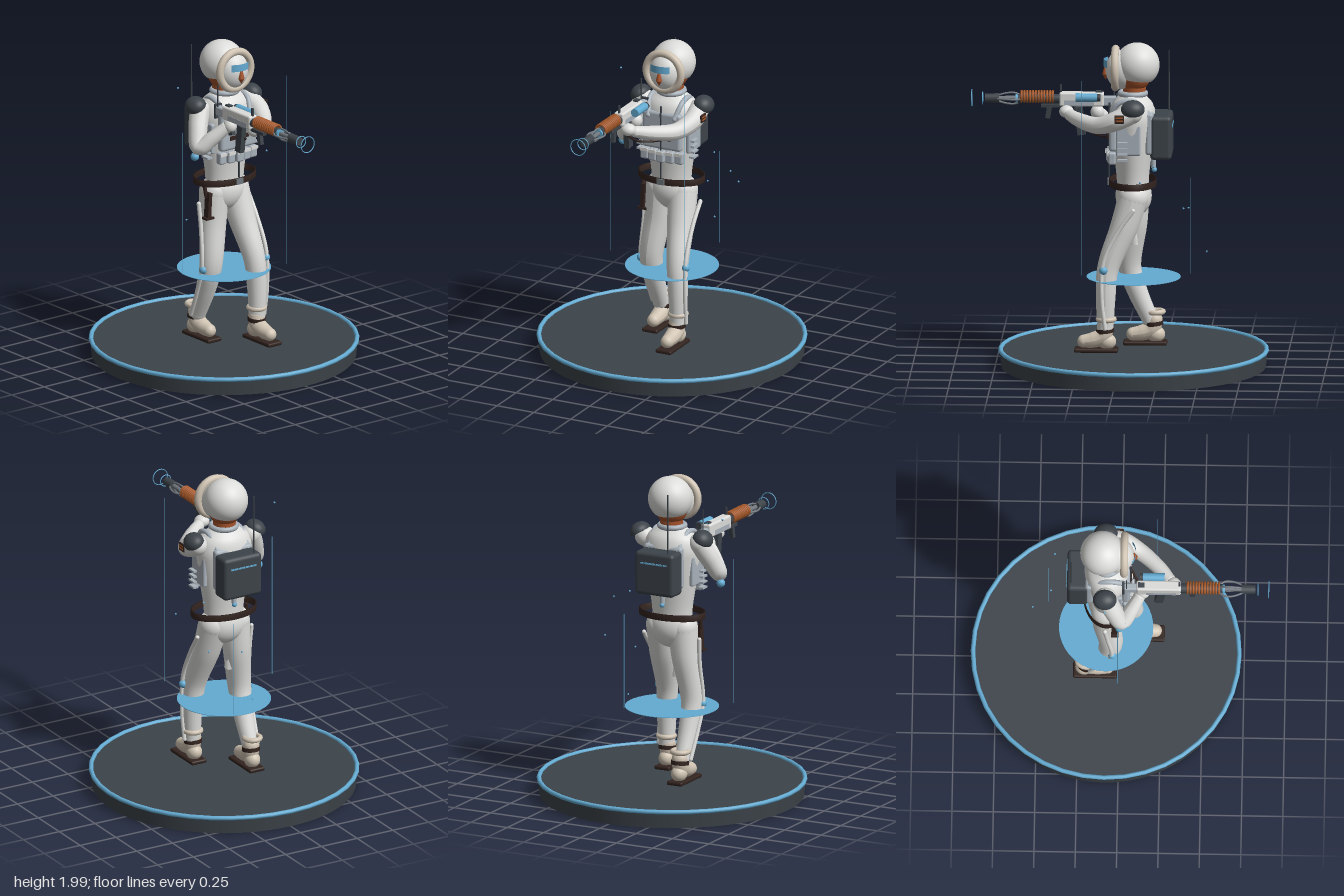
import * as THREE from 'three';
import { RoundedBoxGeometry } from 'three/addons/geometries/RoundedBoxGeometry.js';

const mat = (name, color, side = THREE.FrontSide) => {
  const m = new THREE.MeshStandardMaterial({ color, side });
  m.name = name;
  return m;
};

export function createModel() {
  const white = mat('suit white', 0xdcdcda, THREE.DoubleSide);
  const dark = mat('charcoal', 0x3d444a);
  const blue = mat('ice blue', 0x64abd2, THREE.DoubleSide);
  const beige = mat('fur beige', 0xd0c4b3);
  const brown = mat('dark leather', 0x33241f, THREE.DoubleSide);
  const copper = mat('copper', 0xa85a2a);
  const skin = mat('skin', 0xa5532b);
  const grey = mat('webbing grey', 0xa9b2bb);
  const steel = mat('steel', 0x70777d);

  const root = new THREE.Group();
  root.name = 'arcticSoldier';
  const V = (p) => new THREE.Vector3(p[0], p[1], p[2]);
  const add = (name, geo, m, p = [0, 0, 0], r = [0, 0, 0], s = [1, 1, 1]) => {
    const mesh = new THREE.Mesh(geo, m);
    mesh.name = name;
    mesh.position.set(...p);
    mesh.rotation.set(...r);
    mesh.scale.set(...s);
    root.add(mesh);
    return mesh;
  };
  const box = (name, m, size, p, r) => add(name, new THREE.BoxGeometry(...size), m, p, r);
  const soft = (name, m, size, p, r, rad = 0.012) => add(name, new RoundedBoxGeometry(...size, 3, rad), m, p, r);
  const ball = (name, m, rad, p, r) => add(name, new THREE.SphereGeometry(1, 28, 20), m, p, r, Array.isArray(rad) ? rad : [rad, rad, rad]);
  const ring = (name, m, R, t, p, r) => add(name, new THREE.TorusGeometry(R, t, 10, 40), m, p, r);
  // straight rod between two points
  const rod = (name, m, a, b, r0, r1 = r0, seg = 16) => {
    const A = V(a), B = V(b), d = B.clone().sub(A);
    const mesh = add(name, new THREE.CylinderGeometry(r1, r0, d.length(), seg), m, A.clone().add(B).multiplyScalar(0.5).toArray());
    mesh.quaternion.setFromUnitVectors(new THREE.Vector3(0, 1, 0), d.normalize());
    return mesh;
  };
  // curved tube through points [x, y, z, radius] with rounded ends
  const limb = (name, m, pts, caps = true) => {
    const curve = new THREE.CatmullRomCurve3(pts.map(V)), n = 28, seg = 18;
    const geo = new THREE.TubeGeometry(curve, n, 1, seg), pos = geo.attributes.position, v = new THREE.Vector3();
    for (let i = 0; i <= n; i++) {
      const c = curve.getPointAt(i / n), f = curve.getUtoTmapping(i / n) * (pts.length - 1);
      const k = Math.min(Math.floor(f), pts.length - 2);
      const rad = THREE.MathUtils.lerp(pts[k][3], pts[k + 1][3], f - k);
      for (let j = 0; j <= seg; j++) {
        const id = i * (seg + 1) + j;
        v.fromBufferAttribute(pos, id).sub(c).multiplyScalar(rad).add(c);
        pos.setXYZ(id, v.x, v.y, v.z);
      }
    }
    geo.computeVertexNormals();
    add(name, geo, m);
    if (caps) for (const p of [pts[0], pts[pts.length - 1]]) ball(name + 'End', m, p[3], p.slice(0, 3));
  };
  const H = Math.PI / 2, CZ = -0.085;

  // Base and floating hologram disc
  add('base', new THREE.CylinderGeometry(0.81, 0.8, 0.1, 72), dark, [0, 0.06, CZ]);
  ring('baseRim', blue, 0.805, 0.014, [0, 0.11, CZ], [H, 0, 0]);
  add('hologramDisc', new THREE.CylinderGeometry(0.285, 0.285, 0.003, 48), blue, [0, 0.56, CZ]);
  for (const [x, y, z, h] of [[0.24, 0.61, 0.22, 1.2], [-0.38, 0.61, -0.01, 0.9], [0.14, 0.61, -0.435, 0.59]])
    rod('lightBeam', blue, [x, y, z], [x, y + h, z], 0.0018, 0.0018, 6);
  for (const p of [[-0.35, 1.77, -0.09], [0.22, 1.28, -0.215], [0.37, 1.21, -0.14], [0.29, 1.04, -0.4],
    [0.07, 1.0, -0.42], [0.06, 0.73, -0.53]]) ball('spark', blue, 0.006, p);

  // Torso
  const prof = [[0.125, 1.1], [0.132, 1.2], [0.158, 1.36], [0.175, 1.48], [0.18, 1.56], [0.155, 1.63], [0.1, 1.675], [0.07, 1.7], [0.065, 1.72]];
  add('jacket', new THREE.LatheGeometry(new THREE.SplineCurve(prof.map(p => new THREE.Vector2(...p))).getPoints(32), 40), white, [0, 0, -0.08], [0, 0, 0], [1, 1, 0.76]);
  ball('pelvis', white, [0.15, 0.13, 0.11], [0, 1.06, -0.085]);
  add('beltBand', new THREE.LatheGeometry([[0.205, 1.125], [0.215, 1.125], [0.215, 1.165], [0.205, 1.165], [0.205, 1.125]].map(p => new THREE.Vector2(...p)), 48), brown, [0, 0, -0.08], [0, 0, 0], [1, 1, 0.67]);
  box('buckle', steel, [0.05, 0.036, 0.012], [0, 1.145, 0.067]);

  // Vest, pouches and straps
  soft('vestFront', grey, [0.26, 0.24, 0.05], [0, 1.47, 0.035], [0, 0, 0], 0.02);
  soft('vestBack', grey, [0.26, 0.26, 0.05], [0, 1.46, -0.185], [0, 0, 0], 0.02);
  box('zipper', dark, [0.007, 0.42, 0.008], [0, 1.38, 0.062]);
  box('chestStrap', brown, [0.14, 0.025, 0.008], [0, 1.43, 0.066]);
  for (let i = -2; i <= 2; i++) {
    soft('pouch', grey, [0.054, 0.075, 0.045], [i * 0.058, 1.31, 0.06 - 0.01 * Math.abs(i)]);
    box('pouchFlap', white, [0.05, 0.02, 0.006], [i * 0.058, 1.335, 0.083 - 0.01 * Math.abs(i)]);
  }
  for (const s of [-1, 1]) {
    soft('vestSide', grey, [0.03, 0.19, 0.15], [s * 0.157, 1.43, -0.06]);
    for (let j = 0; j < 4; j++) box('sideLoop', grey, [0.035, 0.012, 0.06], [s * 0.178, 1.31 + j * 0.035, -0.025]);
    limb('shoulderStrap', grey, [[s * 0.09, 1.56, 0.055, 0.016], [s * 0.11, 1.645, 0.0, 0.016], [s * 0.11, 1.66, -0.09, 0.016], [s * 0.1, 1.56, -0.2, 0.016]]);
    // Dark domed shoulder guards
    add('shoulderGuard', new THREE.SphereGeometry(1, 28, 12, 0, Math.PI * 2, 0, Math.PI * 0.55), dark,
      [s * 0.215, 1.63, -0.09], [0, 0, -s * 0.55], [0.062, 0.055, 0.072]);
    box('guardBase', dark, [0.09, 0.008, 0.1], [s * 0.21, 1.627, -0.09], [0, 0, -s * 0.55]);
  }
  ring('collar', grey, 0.075, 0.018, [0, 1.69, -0.08], [H, 0, 0]);
  rod('microphone', dark, [0, 1.56, 0.065], [0, 1.63, 0.06], 0.006);

  // Head with hood
  rod('neck', skin, [0, 1.66, -0.09], [0, 1.8, -0.09], 0.07);
  ball('head', skin, [0.105, 0.12, 0.105], [0, 1.82, -0.09]);
  ball('faceMask', white, [0.105, 0.12, 0.1], [0, 1.835, -0.015]);
  add('helmet', new THREE.SphereGeometry(0.135, 40, 24, 0, Math.PI * 2, 0, Math.PI * 0.72), white, [0, 1.865, -0.107], [-0.12, 0, 0]);
  ring('hoodFur', beige, 0.117, 0.024, [0, 1.843, 0.025]);
  const visor = new THREE.CylinderGeometry(0.104, 0.104, 0.045, 24, 1, true, -0.68, 1.36);
  add('goggles', visor, blue, [0, 1.877, -0.008]);
  add('nose', new THREE.ConeGeometry(0.02, 0.08, 12), skin, [0, 1.845, 0.085]);
  add('chin', new THREE.ConeGeometry(0.02, 0.035, 12), skin, [0, 1.788, 0.085], [Math.PI, 0, 0]);

  // Backpack with antenna
  soft('backpack', dark, [0.265, 0.27, 0.13], [0, 1.435, -0.255], [0, 0, 0], 0.025);
  for (let i = -3; i <= 3; i++) box('packLight', blue, [0.022, 0.01, 0.006], [i * 0.026, 1.5, -0.321]);
  rod('antenna', dark, [-0.085, 1.56, -0.295], [-0.085, 1.94, -0.295], 0.005, 0.004);
  rod('canister', grey, [0, 1.23, -0.205], [0, 1.31, -0.205], 0.015);
  ball('canisterValve', blue, 0.016, [0, 1.22, -0.21]);

  // Arms
  limb('leftArm', white, [[0.185, 1.6, -0.085, 0.062], [0.19, 1.555, 0.01, 0.06], [0.14, 1.515, 0.12, 0.052], [0.03, 1.525, 0.24, 0.044], [-0.045, 1.54, 0.3, 0.036]]);
  ball('leftGlove', white, [0.048, 0.038, 0.045], [-0.085, 1.555, 0.325]);
  limb('rightArm', white, [[-0.185, 1.6, -0.085, 0.062], [-0.235, 1.5, -0.04, 0.058], [-0.27, 1.4, 0.015, 0.05], [-0.215, 1.46, 0.07, 0.045], [-0.15, 1.53, 0.12, 0.036]]);
  ball('rightGlove', white, [0.04, 0.045, 0.042], [-0.13, 1.545, 0.14]);
  ball('elbowCap', blue, 0.026, [-0.29, 1.345, 0.0]);
  soft('armPatch', brown, [0.012, 0.05, 0.06], [0.25, 1.575, -0.01], [0, 0, 0], 0.005);
  for (const y of [1.568, 1.585]) box('patchStripe', copper, [0.004, 0.008, 0.045], [0.257, y, -0.01]);

  // Legs: each entry gives side, thigh-to-ankle path and foot position
  const legs = [
    { s: 1, foot: 0.135, path: [[0.075, 1.06, -0.085, 0.092], [0.09, 0.88, -0.03, 0.085], [0.115, 0.63, 0.065, 0.066], [0.125, 0.45, 0.078, 0.06], [0.125, 0.27, 0.08, 0.05]],
      seam: [[0.19, 1.0, -0.09, 0.013], [0.185, 0.87, 0.0, 0.013], [0.185, 0.68, 0.09, 0.013], [0.185, 0.45, 0.1, 0.013], [0.18, 0.27, 0.08, 0.013]], knee: [0.185, 0.63, 0.09], cuff: [0.125, 0.32, 0.075] },
    { s: -1, foot: -0.15, path: [[-0.075, 1.06, -0.085, 0.092], [-0.09, 0.88, -0.08, 0.085], [-0.125, 0.6, -0.055, 0.07], [-0.125, 0.45, -0.1, 0.062], [-0.125, 0.27, -0.18, 0.05]],
      seam: [[-0.19, 1.0, -0.09, 0.013], [-0.185, 0.85, -0.075, 0.013], [-0.195, 0.6, -0.05, 0.013], [-0.19, 0.45, -0.1, 0.013], [-0.18, 0.27, -0.18, 0.013]], knee: [-0.19, 0.59, -0.045], cuff: [-0.125, 0.32, -0.21] }];
  for (const { s, foot, path, seam, knee, cuff } of legs) {
    const x = s * 0.12;
    limb('leg', white, path);
    limb('trouserPiping', white, seam);
    ball('kneeCap', blue, 0.025, knee);
    add('furCuff', new THREE.TorusGeometry(0.048, 0.016, 10, 32), beige, cuff, [H, 0, 0]);
    limb('boot', beige, [[x, 0.27, foot - 0.055, 0.05], [x, 0.215, foot - 0.04, 0.052], [x, 0.19, foot + 0.02, 0.048], [x, 0.182, foot + 0.075, 0.04]]);
    ball('bootHeel', beige, [0.048, 0.05, 0.055], [x, 0.182, foot - 0.065]);
    add('bootStrap', new THREE.CylinderGeometry(0.055, 0.055, 0.025, 24), brown, [x, 0.25, foot - 0.053], [0.1, 0, 0]);
    soft('sole', brown, [0.105, 0.025, 0.265], [x, 0.1315, foot], [0, 0, 0], 0.01);
  }
  // Knife sheath and thigh pocket
  box('sheath', brown, [0.025, 0.16, 0.04], [-0.165, 1.0, -0.03], [0, 0, -0.06]);
  box('knifeGuard', brown, [0.06, 0.014, 0.045], [-0.165, 0.92, -0.03]);
  rod('beltHanger', brown, [-0.17, 1.05, -0.04], [-0.18, 1.13, -0.05], 0.012);
  add('thighPocket', new THREE.CylinderGeometry(0.012, 0.035, 0.18, 4), white, [-0.04, 0.84, -0.085], [0, H / 2, 0]);

  // Rifle, pointing along +z
  const gx = -0.13, gy = 1.625;
  const along = (name, m, z0, z1, r0, r1 = r0, x = gx, y = gy) => rod(name, m, [x, y, z0], [x, y, z1], r0, r1, 20);
  soft('receiver', white, [0.065, 0.085, 0.27], [gx, gy, 0.235]);
  box('receiverPanel', grey, [0.068, 0.03, 0.18], [gx, gy - 0.02, 0.25]);
  box('rearSight', dark, [0.03, 0.012, 0.04], [gx, gy + 0.045, 0.13]);
  box('topLight', blue, [0.025, 0.006, 0.02], [gx, gy + 0.047, 0.12]);
  soft('stock', grey, [0.045, 0.06, 0.1], [gx, gy - 0.01, 0.07]);
  box('buttPlate', dark, [0.05, 0.09, 0.015], [gx, gy - 0.015, 0.02]);
  rod('rifleAerial', dark, [-0.145, 1.6, 0.04], [-0.145, 1.78, 0.04], 0.004);
  along('energyCell', blue, 0.14, 0.27, 0.026, 0.026, -0.07, 1.645);
  along('cellCap', dark, 0.12, 0.14, 0.022, 0.022, -0.07, 1.645);
  box('frontSight', dark, [0.01, 0.05, 0.012], [gx, 1.69, 0.36]);
  along('barrelCore', dark, 0.36, 0.62, 0.028);
  for (let i = 0; i < 12; i++) ring('coil', copper, 0.033, 0.007, [gx, gy + 0.012, 0.41 + i * 0.0172]);
  along('barrel', steel, 0.6, 0.76, 0.014);
  along('barrelCollar', blue, 0.615, 0.635, 0.026);
  for (let i = 0; i < 4; i++) {
    const c = Math.cos(H * i), d = Math.sin(H * i), P = (r, z) => [gx + c * r, gy + d * r * 0.7, z, 0.006];
    limb('prong', steel, [P(0.025, 0.6), P(0.048, 0.64), P(0.045, 0.69), P(0.022, 0.75)]);
  }
  along('muzzle', dark, 0.735, 0.82, 0.03, 0.027);
  ring('muzzleRing', blue, 0.036, 0.003, [gx, gy, 0.835]);
  ring('pulseRing', blue, 0.05, 0.003, [gx, gy, 0.9]);
  box('magazine', dark, [0.035, 0.17, 0.05], [gx, 1.49, 0.245], [0.12, 0, 0]);
  box('pistolGrip', dark, [0.03, 0.1, 0.035], [gx, 1.54, 0.15], [-0.25, 0, 0]);
  box('foregrip', dark, [0.025, 0.08, 0.03], [gx, 1.545, 0.435], [-0.15, 0, 0]);
  box('gripRail', dark, [0.03, 0.02, 0.12], [gx, 1.582, 0.42]);
  limb('sling', brown, [[-0.12, 1.5, 0.28, 0.007], [-0.09, 1.44, 0.2, 0.007], [-0.03, 1.42, 0.12, 0.007], [0.05, 1.43, 0.07, 0.007]]);
  return root;
}
